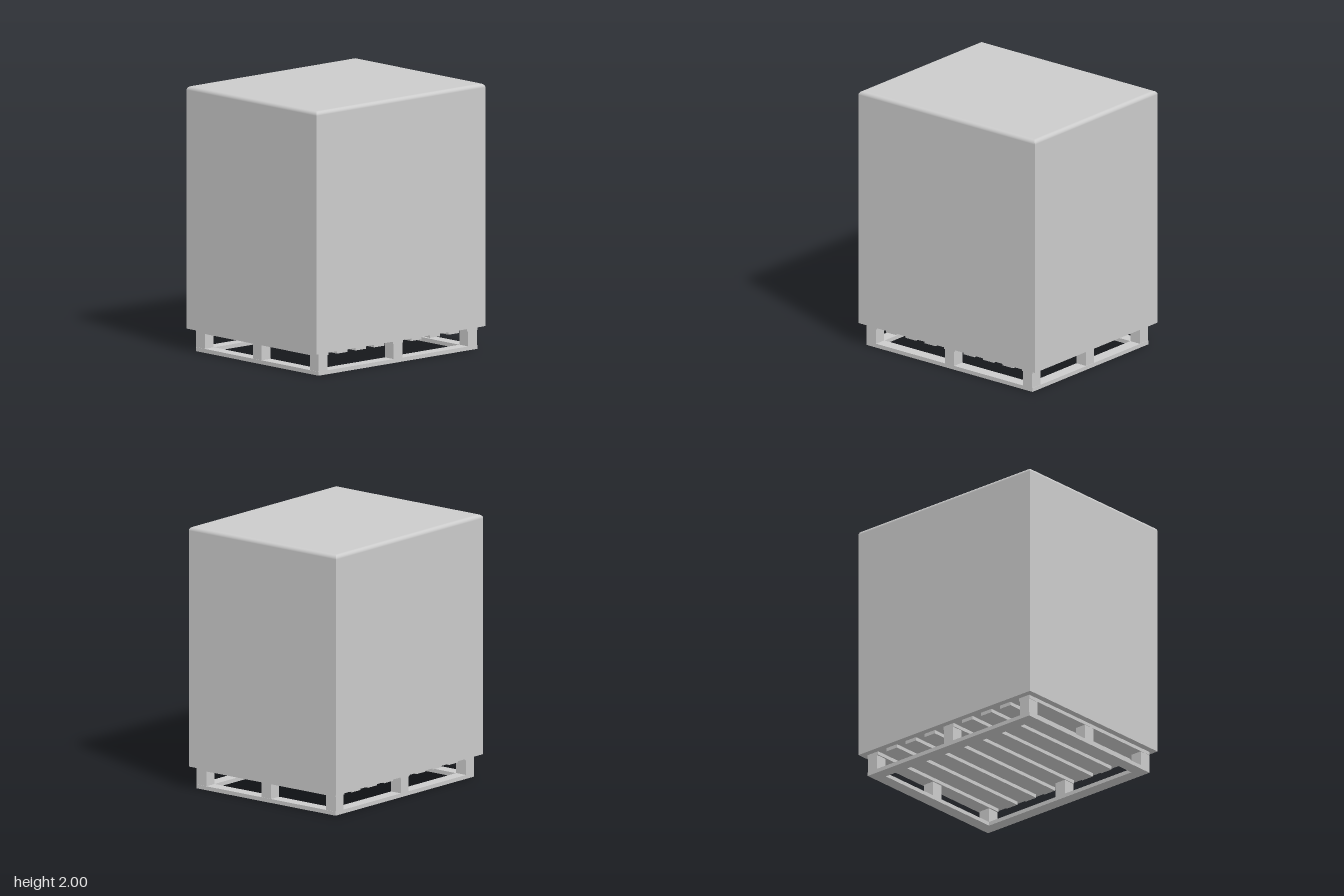
import * as THREE from 'three';

const grey = new THREE.MeshStandardMaterial({ color: 0xcccccc });
grey.name = 'light grey';

// Closed crate with sharp upright corners and a rounded top rim
function crateGeometry(hx, hz, y0, y1, r) {
  const pos = [], nor = [], idx = [];
  const profile = [{ inset: 0, y: y0, a: 0 }];
  const steps = 5;
  for (let i = 0; i <= steps; i++) {
    const a = (i / steps) * Math.PI / 2;
    profile.push({ inset: r * (1 - Math.cos(a)), y: y1 - r + r * Math.sin(a), a });
  }
  const corners = [[-1, 1], [1, 1], [1, -1], [-1, -1]];
  const normals = [[0, 1], [1, 0], [0, -1], [-1, 0]];
  const add = (x, y, z, n) => { pos.push(x, y, z); nor.push(...n); };

  // Four walls, each carried over the rim
  normals.forEach(([nx, nz], s) => {
    const base = pos.length / 3;
    profile.forEach(({ inset, y, a }, j) => {
      for (const [cx, cz] of [corners[s], corners[(s + 1) % 4]]) {
        add(cx * (hx - inset), y, cz * (hz - inset), [nx * Math.cos(a), Math.sin(a), nz * Math.cos(a)]);
      }
      if (j > 0) {
        const k = base + 2 * (j - 1);
        idx.push(k, k + 1, k + 3, k, k + 3, k + 2);
      }
    });
  });

  // Lid and underside
  for (const [y, inset, up] of [[y1, r, 1], [y0, 0, -1]]) {
    const b = pos.length / 3;
    corners.forEach(([cx, cz]) => add(cx * (hx - inset), y, cz * (hz - inset), [0, up, 0]));
    if (up > 0) idx.push(b, b + 1, b + 2, b, b + 2, b + 3);
    else idx.push(b, b + 2, b + 1, b, b + 3, b + 2);
  }

  const g = new THREE.BufferGeometry();
  g.setAttribute('position', new THREE.Float32BufferAttribute(pos, 3));
  g.setAttribute('normal', new THREE.Float32BufferAttribute(nor, 3));
  g.setIndex(idx);
  return g;
}

function board(parent, name, w, h, d, x, y, z) {
  const m = new THREE.Mesh(new THREE.BoxGeometry(w, h, d), grey);
  m.name = name;
  m.position.set(x, y, z);
  parent.add(m);
}

export function createModel() {
  const model = new THREE.Group();
  model.name = 'palletCrate';

  const crate = new THREE.Mesh(crateGeometry(0.712, 0.85, 0.17, 2, 0.03), grey);
  crate.name = 'crate';
  model.add(crate);

  const pallet = new THREE.Group();
  pallet.name = 'pallet';
  pallet.position.x = 0.007;
  model.add(pallet);

  const hx = 0.672, hz = 0.8, w = 0.095, rail = 0.03, deckY = 0.143, top = 0.17;

  // Bottom frame
  for (const s of [-1, 1]) {
    board(pallet, 'endRail', 2 * hx, rail, w, 0, rail / 2, s * (hz - w / 2));
    board(pallet, 'sideRail', w, rail, 2 * (hz - w), s * (hx - w / 2), rail / 2, 0);
  }

  // Blocks around the edge
  for (const i of [-1, 0, 1]) {
    for (const k of [-1, 0, 1]) {
      if (i === 0 && k === 0) continue;
      board(pallet, 'block', w, deckY - rail, w - 0.005,
        i * (hx - w / 2), (deckY + rail) / 2, k * (hz - w / 2));
    }
  }

  // Deck slats running across
  for (let k = -4; k <= 4; k++) {
    board(pallet, 'deckSlat', 2 * hx, top - deckY, 0.103, 0, (top + deckY) / 2, k * (hz - 0.0515) / 4);
  }
  return model;
}
